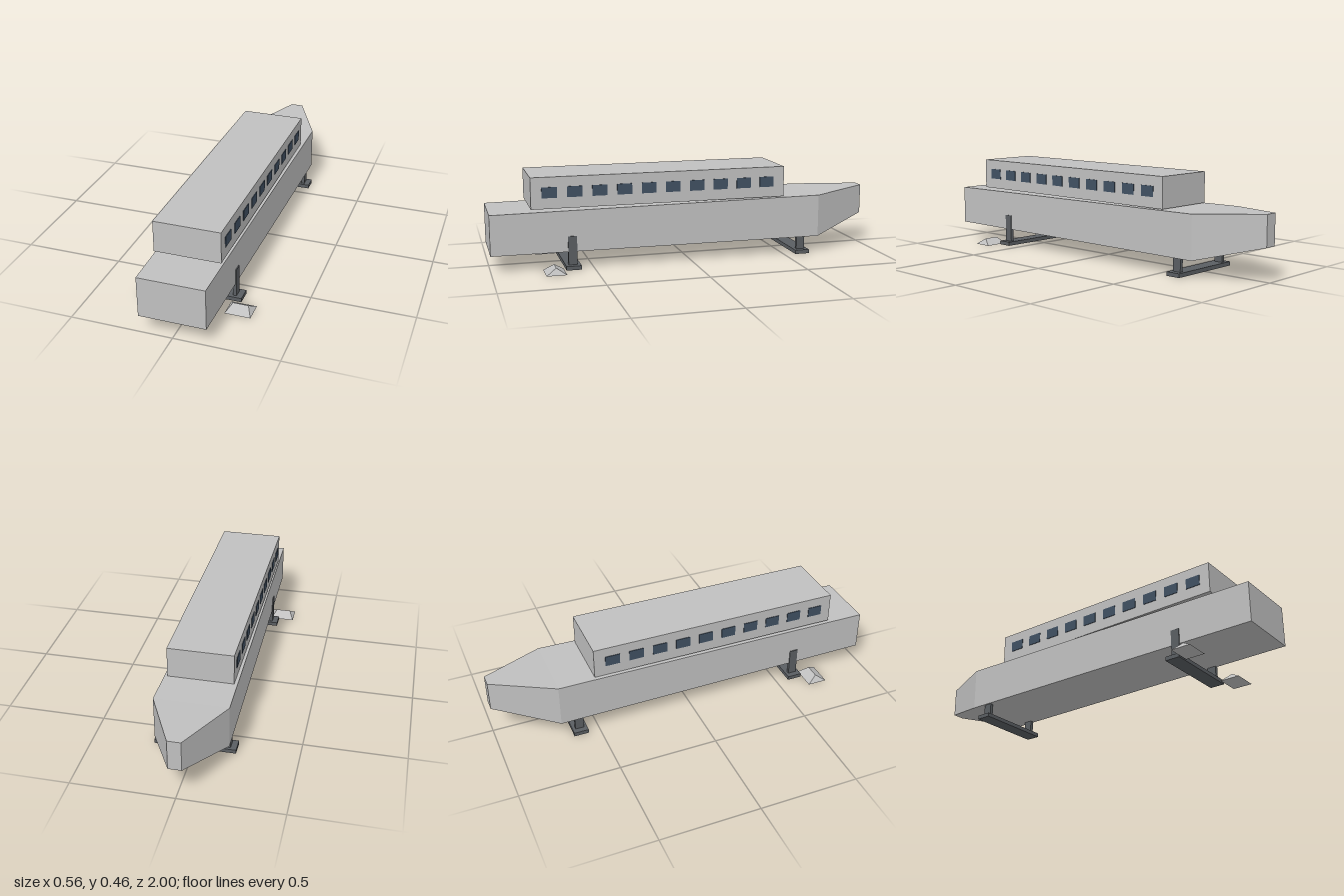
import * as THREE from 'three';

const mat = (name, hex) => Object.assign(new THREE.MeshStandardMaterial({ color: hex }), { name });

// Flat-shaded solid through rectangular sections [halfWidth, bottom, top, z], listed from low z to high z
function loft(sections) {
  const rings = sections.map(([w, b, t, z]) => [[-w, b, z], [w, b, z], [w, t, z], [-w, t, z]]);
  const pos = [];
  const quad = (a, b, c, d) => pos.push(...a, ...b, ...c, ...a, ...c, ...d);
  for (let i = 0; i < rings.length - 1; i++) {
    const r = rings[i], s = rings[i + 1];
    for (let k = 0; k < 4; k++) {
      const n = (k + 1) % 4;
      quad(r[k], r[n], s[n], s[k]);
    }
  }
  const r = rings[0], s = rings[rings.length - 1];
  quad(r[3], r[2], r[1], r[0]);
  quad(s[0], s[1], s[2], s[3]);
  const g = new THREE.BufferGeometry();
  g.setAttribute('position', new THREE.Float32BufferAttribute(pos, 3));
  g.computeVertexNormals();
  return g;
}

// Box squeezed at the top into a ridge along x
function ridgeWedge(length, height, depth, ridge) {
  const box = new THREE.BoxGeometry(length, height, depth);
  const p = box.attributes.position;
  for (let i = 0; i < p.count; i++) {
    if (p.getY(i) > 0) {
      p.setX(i, Math.sign(p.getX(i)) * ridge / 2);
      p.setZ(i, 0);
    }
  }
  const g = box.toNonIndexed();
  g.computeVertexNormals();
  return g;
}

export function createModel() {
  const model = new THREE.Group();
  const paint = mat('light grey', 0xc0c0c0);
  const metal = mat('dark grey', 0x5a5e62);
  const glass = mat('dark blue glass', 0x405062);

  const add = (name, geometry, material, x, y, z) => {
    const mesh = new THREE.Mesh(geometry, material);
    mesh.name = name;
    mesh.position.set(x, y, z);
    model.add(mesh);
  };

  // Hull with the tapered, rising end at -z
  add('hull', loft([
    [0.032, 0.165, 0.318, -1],
    [0.18, 0.085, 0.303, -0.69],
    [0.162, 0.085, 0.287, 1],
  ]), paint, 0, 0, 0);

  // Upper cabin
  add('cabin', new THREE.BoxGeometry(0.324, 0.156, 1.3), paint, 0, 0.382, 0.15);

  // Cabin windows
  const pane = new THREE.BoxGeometry(0.006, 0.053, 0.075);
  for (const side of [-1, 1])
    for (let i = 0; i < 10; i++)
      add('window', pane, glass, side * 0.162, 0.384, 0.71 - i * 0.1239);

  // Landing skids: a crossbar and two posts at each end
  const bar = new THREE.BoxGeometry(0.4, 0.02, 0.075);
  const post = new THREE.BoxGeometry(0.018, 0.145, 0.044);
  for (const z of [0.603, -0.597]) {
    add('skidBar', bar, metal, 0, 0.01, z);
    for (const side of [-1, 1]) add('skidPost', post, metal, side * 0.162, 0.0905, z);
  }

  // Ground wedges beside the front skid
  const wedge = ridgeWedge(0.126, 0.032, 0.1, 0.075);
  for (const side of [-1, 1]) add('groundWedge', wedge, paint, side * 0.217, 0.016, 0.699);

  return model;
}
